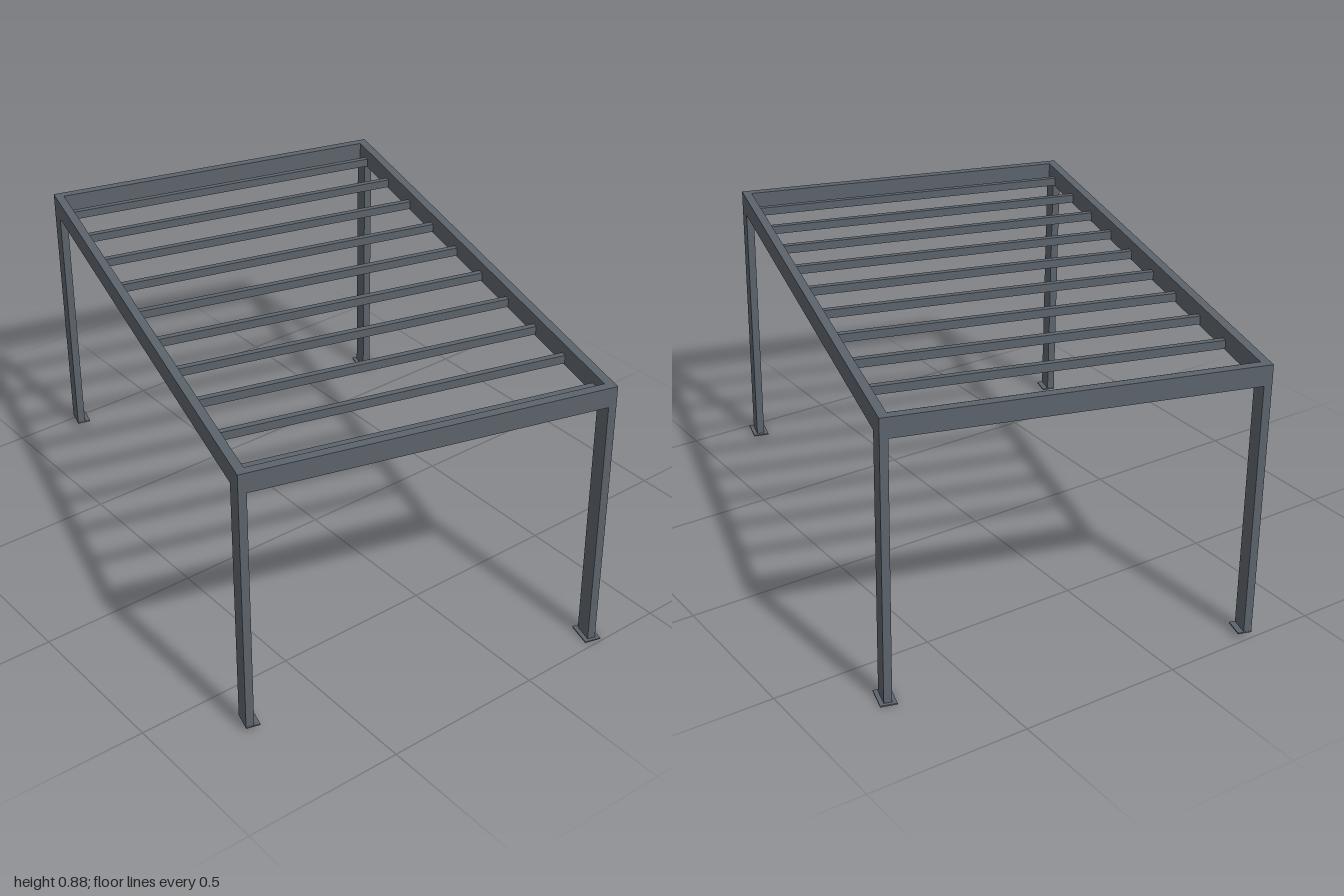
import * as THREE from 'three';

const L = 0.87, W = 0.55;        // half length and half width of the roof frame
const BEAM_H = 0.062, BEAM_T = 0.027;
const POST_W = 0.06, POST_D = 0.024;

export function createModel() {
  const model = new THREE.Group();
  model.name = 'pergola';
  const metal = new THREE.MeshStandardMaterial({ color: 0x5c636b });

  // Local origin is the centre of the roof frame
  const pergola = new THREE.Group();
  pergola.name = 'pergolaFrame';
  const box = (name, w, h, d, x, y, z) => {
    const mesh = new THREE.Mesh(new THREE.BoxGeometry(w, h, d), metal);
    mesh.name = name;
    mesh.position.set(x, y, z);
    pergola.add(mesh);
  };

  // Perimeter beams
  for (const s of [-1, 1]) {
    box(s > 0 ? 'frontBeam' : 'backBeam', 2 * L, BEAM_H, BEAM_T, 0, 0, s * (W - BEAM_T / 2));
    box(s > 0 ? 'leftBeam' : 'rightBeam', BEAM_T, BEAM_H, 2 * (W - BEAM_T), s * (L - BEAM_T / 2), 0, 0);
  }

  // Rafters set low between the long beams
  const count = 10;
  for (let i = 0; i < count; i++) {
    const x = -0.79 + (1.58 * i) / (count - 1);
    box('rafter', 0.018, 0.026, 2 * (W - BEAM_T), x, -0.014, 0);
  }

  // Corner posts with base plates; the back pair is longer
  const top = -BEAM_H / 2, plateH = 0.004;
  for (const sx of [-1, 1]) for (const sz of [-1, 1]) {
    const front = sz > 0;
    const foot = front ? -0.823 : -0.847;
    const side = (front ? 'front' : 'back') + (sx > 0 ? 'Left' : 'Right');
    const x = sx * (L - POST_W / 2), z = sz * (W - POST_D / 2);
    box(side + 'Post', POST_W, top - foot, POST_D, x, (top + foot) / 2, z);
    if (front) box(side + 'BasePlate', 0.062, plateH, 0.042, x, foot + plateH / 2, z - 0.009);
    else box(side + 'BasePlate', 0.08, plateH, 0.05, x, foot + plateH / 2, z);
  }

  // Turned about the vertical, with a slight fall towards the front
  pergola.rotation.set(0.0075, -0.2785, 0, 'YXZ');
  pergola.position.set(-0.009, 0.843, 0.011);
  model.add(pergola);
  return model;
}
